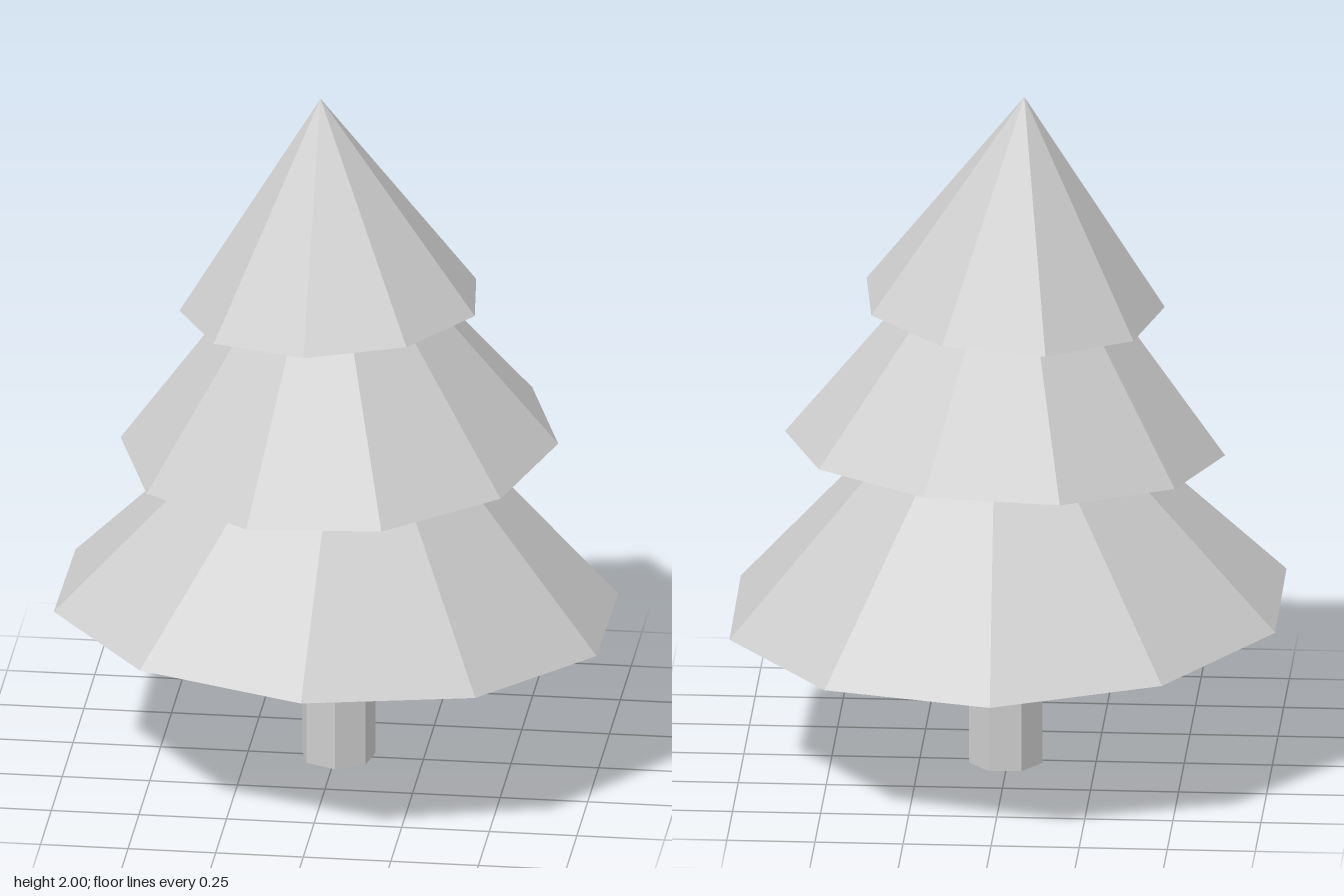
import * as THREE from 'three';

// Low-poly pine: a faceted trunk under three slightly tilted cones.
export function createModel() {
  const tree = new THREE.Group();
  tree.name = 'pineTree';

  const grey = new THREE.MeshStandardMaterial({ color: 0xcccccc, flatShading: true });
  grey.name = 'plainGrey';

  const up = new THREE.Vector3(0, 1, 0);
  const rad = THREE.MathUtils.degToRad;

  // corner: angle in degrees of one rim corner, from +x towards +z
  function addPart(name, geometryOf, base, height, corner, slope = [0, 0]) {
    const geometry = geometryOf(rad(90 - corner));
    geometry.translate(0, height / 2, 0);
    const mesh = new THREE.Mesh(geometry, grey);
    mesh.name = name;
    mesh.position.set(...base);
    // slope: rise of the base plane along x and along z
    const axis = new THREE.Vector3(-slope[0], 1, -slope[1]).normalize();
    mesh.quaternion.setFromUnitVectors(up, axis);
    tree.add(mesh);
  }

  // Trunk
  addPart('trunk', (start) => new THREE.CylinderGeometry(0.107, 0.107, 0.5, 7, 1, false, start),
    [0.006, 0, -0.004], 0.5, 88);

  // Foliage tiers, bottom to top
  const tiers = [
    { name: 'lowerFoliage', radius: 0.815, height: 0.853, sides: 10, base: [0, 0.467, -0.004], corner: 90, slope: [-0.036, 0.037] },
    { name: 'middleFoliage', radius: 0.625, height: 0.805, sides: 10, base: [0.007, 0.957, -0.026], corner: 0, slope: [0.036, -0.05] },
    { name: 'upperFoliage', radius: 0.433, height: 0.622, sides: 9, base: [-0.013, 1.379, -0.018], corner: 93.7, slope: [0.057, 0.03] },
  ];
  for (const t of tiers) {
    addPart(t.name, (start) => new THREE.ConeGeometry(t.radius, t.height, t.sides, 1, false, start),
      t.base, t.height, t.corner, t.slope);
  }

  return tree;
}
